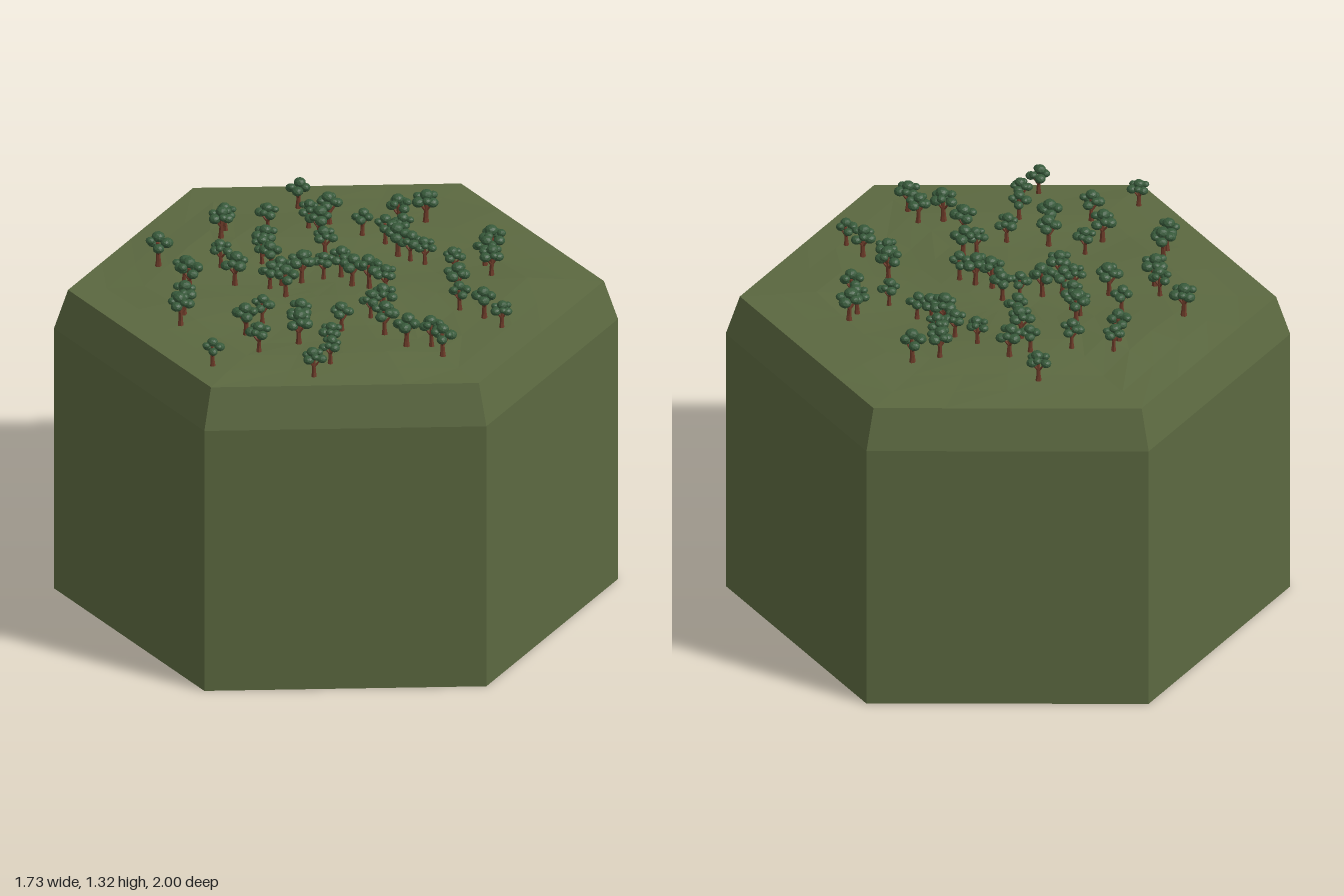
import * as THREE from 'three';
import { mergeGeometries } from 'three/addons/utils/BufferGeometryUtils.js';

const RIM = 0.95, TOP = 1.17;

const flat = (color) => new THREE.MeshStandardMaterial({ color, flatShading: true });

// Distance to the hexagon rim, as a share of its corner radius, at an angle
// (corners lie on the z axis)
function hexReach(angle) {
  const sector = Math.PI / 3;
  const a = ((angle % sector) + sector) % sector;
  const off = Math.min(a, sector - a); // 0 at the middle of an edge, 30 degrees at a corner
  return Math.cos(Math.PI / 6) / Math.cos(off);
}

// Gentle ground relief, fading to the flat rim
function groundHeight(x, z) {
  const d = Math.hypot(x, z) / (RIM * hexReach(Math.atan2(z, x)));
  const fade = Math.min(1, Math.max(0, (1 - d) * 4));
  const waves = Math.sin(x * 9 + z * 4 + 1) + Math.sin(z * 11 - x * 5);
  const hill = Math.exp(-((x + 0.13) ** 2 + (z + 0.4) ** 2) / 0.05);
  return TOP + fade * (0.01 + 0.005 * waves + 0.018 * hill);
}

function makeGround() {
  const g = new THREE.RingGeometry(0.001, RIM, 24, 7);
  g.rotateX(-Math.PI / 2);
  const p = g.attributes.position;
  for (let i = 0; i < p.count; i++) {
    const k = hexReach(Math.atan2(p.getZ(i), p.getX(i)));
    const x = p.getX(i) * k, z = p.getZ(i) * k;
    p.setXYZ(i, x, groundHeight(x, z), z);
  }
  g.computeVertexNormals();
  return g;
}

// A tapered stick between two points
function stick(from, to, r0, r1) {
  const a = new THREE.Vector3(...from), dir = new THREE.Vector3(...to).sub(a);
  const g = new THREE.CylinderGeometry(r1, r0, dir.length(), 6);
  g.translate(0, dir.length() / 2, 0);
  g.applyQuaternion(new THREE.Quaternion().setFromUnitVectors(
    new THREE.Vector3(0, 1, 0), dir.normalize()));
  return g.translate(a.x, a.y, a.z);
}

// Trunk with a flared foot and three branches
function makeTrunk() {
  const parts = [
    stick([0, -0.012, 0], [0, 0.018, 0], 0.013, 0.0085),
    stick([0, 0.015, 0], [0.003, 0.085, 0], 0.0085, 0.006),
  ];
  for (let i = 0; i < 3; i++) {
    const a = i * 2.1;
    parts.push(stick([0, 0.04, 0], [Math.cos(a) * 0.026, 0.075, Math.sin(a) * 0.026], 0.005, 0.003));
  }
  return mergeGeometries(parts);
}

// Crown of faceted leaf clumps: x, y, z, radius
function makeCrown() {
  const clumps = [
    [0.026, 0.078, 0.004, 0.021], [-0.018, 0.08, 0.024, 0.022], [-0.018, 0.076, -0.024, 0.02],
    [0.004, 0.104, 0.004, 0.023], [0.018, 0.095, -0.022, 0.016], [-0.03, 0.092, 0, 0.016],
    [0.014, 0.09, 0.026, 0.016],
  ];
  return mergeGeometries(clumps.map(([x, y, z, r], i) => {
    const g = new THREE.IcosahedronGeometry(r, 1);
    g.rotateY(i * 1.3);
    g.scale(1, 0.8, 1);
    return g.translate(x, y, z);
  }));
}

// Tree places as x, z pairs
const TREES = [
  0.22, -0.6, -0.11, -0.56, -0.16, -0.51, -0.46, -0.45, 0.01, -0.47, 0.15, -0.42,
  0.23, -0.41, 0.13, -0.32, -0.28, -0.32, -0.46, -0.28, -0.48, -0.21, -0.1, -0.31,
  -0.14, -0.27, -0.14, -0.21, -0.31, -0.18, 0.08, -0.2, 0.28, -0.27, 0.44, -0.28,
  0.54, -0.26, 0.32, -0.18, 0.39, -0.17, -0.6, -0.06, -0.65, 0, -0.22, -0.09,
  -0.17, -0.09, -0.1, -0.07, -0.21, 0, -0.02, -0.05, 0.04, -0.03, 0.31, -0.08,
  0.33, -0.03, 0.36, 0.02, 0.03, 0.06, 0.07, 0.11, 0.1, 0.17, -0.39, 0.13,
  -0.49, 0.18, -0.31, 0.25, 0.4, 0.15, 0.53, 0.15, 0.58, 0.12, 0.5, 0.24,
  -0.73, 0.34, -0.53, 0.33, -0.37, 0.34, -0.19, 0.34, -0.05, 0.31, 0, 0.32,
  0.31, 0.31, 0.26, 0.41, -0.31, 0.46, -0.08, 0.45, 0.3, 0.51, -0.37, 0.55,
  -0.47, 0.6, -0.07, 0.58, 0.01, 0.62, 0.31, 0.61, 0, 0.71,
];

export function createModel() {
  const model = new THREE.Group();
  model.name = 'forestHexTile';
  const earth = flat(0x5b6840), bark = flat(0x6b3a28), leaves = flat(0x37593a);

  // Hexagonal block with a bevelled upper edge
  const profile = [[0, 0], [1, 0], [1, 1.02], [RIM, TOP]].map(([r, y]) => new THREE.Vector2(r, y));
  const block = new THREE.Mesh(new THREE.LatheGeometry(profile, 6), earth);
  block.name = 'hexBlock';

  const ground = new THREE.Mesh(makeGround(), earth);
  ground.name = 'ground';
  model.add(block, ground);

  // Scattered trees, each turned and sized a little differently
  const forest = new THREE.Group();
  forest.name = 'forest';
  const trunkGeometry = makeTrunk(), crownGeometry = makeCrown();
  for (let i = 0; i < TREES.length; i += 2) {
    const x = TREES[i], z = TREES[i + 1];
    const tree = new THREE.Group();
    tree.name = 'tree';
    const trunk = new THREE.Mesh(trunkGeometry, bark);
    trunk.name = 'trunk';
    const crown = new THREE.Mesh(crownGeometry, leaves);
    crown.name = 'crown';
    tree.add(trunk, crown);
    tree.position.set(x, groundHeight(x, z), z);
    tree.rotation.y = i * 1.37;
    tree.scale.setScalar(0.96 + 0.1 * Math.sin(i * 2.3));
    forest.add(tree);
  }
  model.add(forest);
  return model;
}
